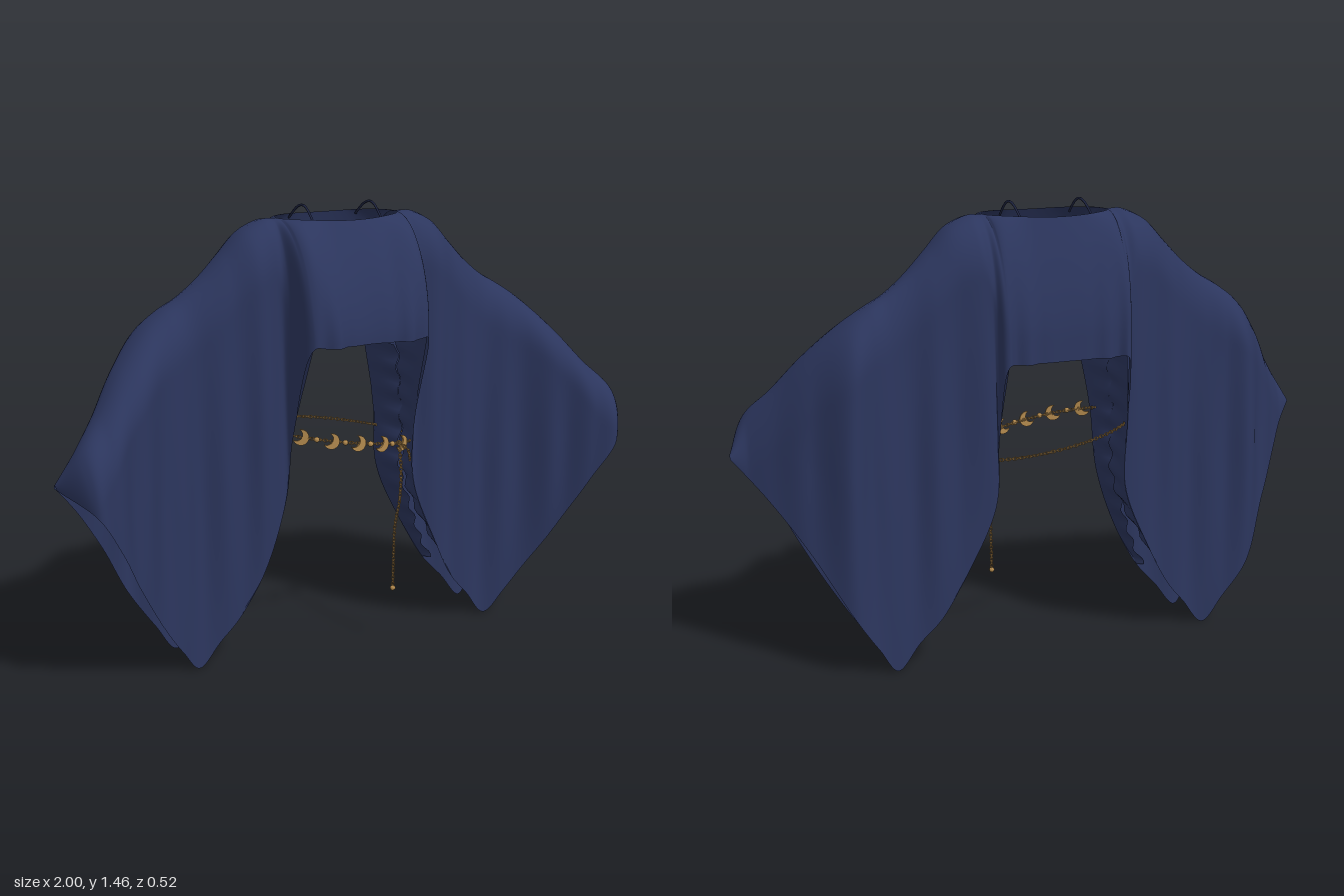
import * as THREE from 'three';
import { mergeVertices, mergeGeometries } from 'three/addons/utils/BufferGeometryUtils.js';

const V = (x, y, z) => new THREE.Vector3(x, y, z);
const { lerp, smoothstep } = THREE.MathUtils;

// Stations from the chest centre out to the left cuff: shoulder ridge, front hem, back hem
const STATIONS = [
  [V(0, 1.42, -0.05), V(0, 1.05, 0.2), V(0, 0.98, -0.24)],
  [V(0.17, 1.425, -0.05), V(0.16, 1.05, 0.215), V(0.17, 0.98, -0.245)],
  [V(0.21, 1.425, -0.05), V(0.2, 1.05, 0.19), V(0.2, 0.98, -0.245)],
  [V(0.23, 1.425, -0.05), V(0.22, 0.75, 0.08), V(0.22, 0.75, -0.21)],
  [V(0.26, 1.425, -0.05), V(0.235, 0.53, 0.055), V(0.225, 0.53, -0.195)],
  [V(0.33, 1.395, -0.055), V(0.32, 0.3, 0.065), V(0.32, 0.31, -0.185)],
  [V(0.4, 1.325, -0.06), V(0.39, 0.17, 0.05), V(0.4, 0.17, -0.17)],
  [V(0.47, 1.255, -0.065), V(0.46, 0.09, 0.04), V(0.47, 0.09, -0.155)],
  [V(0.54, 1.2, -0.07), V(0.535, 0.005, 0.035), V(0.545, 0.005, -0.15)],
  [V(0.6, 1.165, -0.07), V(0.6, 0.08, 0.055), V(0.61, 0.09, -0.17)],
  [V(0.67, 1.115, -0.055), V(0.68, 0.2, 0.095), V(0.69, 0.21, -0.185)],
  [V(0.77, 1.015, 0), V(0.77, 0.36, 0.16), V(0.8, 0.41, -0.1)],
  [V(0.86, 0.9, 0.075), V(0.84, 0.5, 0.215), V(0.89, 0.55, -0.015)],
  [V(0.94, 0.81, 0.135), V(0.92, 0.63, 0.245), V(0.95, 0.63, 0.045)],
  [V(1, 0.7, 0.09), V(0.995, 0.685, 0.095), V(1, 0.69, 0.08)],
];

// Smooth curve through one column of the stations, mirrored across the body
function acrossCurve(col) {
  const half = STATIONS.map((s) => s[col]);
  const mirrored = half.slice(1).reverse().map((p) => V(-p.x, p.y, p.z));
  return new THREE.CatmullRomCurve3([...mirrored, ...half]);
}

// Grid of points with smooth normals; equal points are welded
function sheetGeometry(pos, index) {
  let geo = new THREE.BufferGeometry();
  geo.setAttribute('position', new THREE.Float32BufferAttribute(pos, 3));
  geo.setIndex(index);
  geo = mergeVertices(geo, 1e-4);
  geo.computeVertexNormals();
  return geo;
}

function pushQuad(index, k, stride, flip) {
  const r = k + stride;
  if (flip) index.push(k, r, k + 1, r, r + 1, k + 1);
  else index.push(k, k + 1, r, r, k + 1, r + 1);
}

// Front and back cloth, joined along the shoulders and open at neck, hem and cuffs
function clothGeometry() {
  const COLS = 320, ROWS = 36;
  const ridge = acrossCurve(0), hems = [acrossCurve(1), acrossCurve(2)];
  const pos = [], index = [];
  hems.forEach((hem, side) => {
    const sign = side ? -1 : 1, base = pos.length / 3;
    for (let j = 0; j <= COLS; j++) {
      const a = ridge.getPoint(j / COLS), b = hem.getPoint(j / COLS);
      const ax = Math.abs(a.x);
      const neck = 0.12 * Math.sqrt(Math.max(0, 1 - (ax / 0.21) ** 2));
      const arm = smoothstep(ax, 0.2, 0.27), curl = smoothstep(ax, 0.08, 0.21);
      const reach = lerp(0.36, 0.17, arm);
      const armFold = arm * (1 - smoothstep(ax, 0.72, 0.92)) * 0.013 * Math.sin(ax * 46 + side * 1.5);
      const chestFold = (1 - arm) * smoothstep(ax, 0.04, 0.14) * 0.01 * Math.sin(ax * 75 - 8.2);
      for (let i = 0; i <= ROWS; i++) {
        const t = (i / ROWS) ** 1.5;
        const y = lerp(a.y, b.y, t);
        const q = Math.min(1, (a.y - y) / Math.min(reach, a.y - b.y));
        const soft = 1 - (1 - q) ** 1.7, round = Math.sqrt(1 - (1 - q) ** 2);
        const z0 = a.z + sign * neck;
        const z = z0 + (b.z - z0) * lerp(soft, round, curl);
        const fold = armFold * Math.min(1, t * 1.8) * (1 - 0.85 * t ** 4) + chestFold * t * t;
        pos.push(lerp(a.x, b.x, t), y, z + sign * fold);
        if (i < ROWS && j < COLS) pushQuad(index, base + j * (ROWS + 1) + i, ROWS + 1, side);
      }
    }
  });
  return sheetGeometry(pos, index);
}

// Rippled wall beneath the armpit, curling in from the front (1) or back (2) hem
function innerWallGeometry(mirror, col) {
  const ROWS = 60, COLS = 8, pos = [], index = [];
  const edge = new THREE.CatmullRomCurve3(STATIONS.slice(2, 7).map((s) => s[col]));
  for (let i = 0; i <= ROWS; i++) {
    const a = edge.getPoint(i / ROWS);
    const open = 1 - smoothstep(a.y, 0.17, 0.5);
    const innerZ = -0.05 + open * (col === 1 ? 0.08 : -0.09);
    for (let j = 0; j <= COLS; j++) {
      const s = j / COLS, x = a.x + s * (0.02 + 0.008 * Math.sin(a.y * 75));
      pos.push(mirror * x, a.y, lerp(a.z, innerZ, s));
      if (i < ROWS && j < COLS) pushQuad(index, i * (COLS + 1) + j, COLS + 1, (mirror > 0) === (col === 1));
    }
  }
  return sheetGeometry(pos, index);
}

// Alternating small oval links along a curve
function chainGeometry(curve, spacing) {
  const n = Math.round(curve.getLength() / spacing), links = [];
  for (let i = 0; i <= n; i++) {
    const u = i / n, link = new THREE.TorusGeometry(0.0048, 0.0017, 4, 8);
    link.scale(1.6, 1, 1);
    link.rotateX((i % 2) * Math.PI / 2);
    link.applyQuaternion(new THREE.Quaternion().setFromUnitVectors(V(1, 0, 0), curve.getTangentAt(u)));
    const p = curve.getPointAt(u);
    links.push(link.translate(p.x, p.y, p.z));
  }
  return mergeGeometries(links);
}

function crescentGeometry() {
  const R = 0.026, a = 0.87;
  const s = new THREE.Shape();
  s.absarc(0, 0, R, a, Math.PI * 2 - a, false);
  s.absarc(R * Math.cos(a), 0, R * Math.sin(a), -Math.PI / 2, Math.PI / 2, true);
  const geo = new THREE.ExtrudeGeometry(s, { depth: 0.006, bevelEnabled: false, curveSegments: 14 });
  return geo.translate(0, 0, -0.003).rotateZ(2.6);
}

export function createModel() {
  const model = new THREE.Group();
  const navy = new THREE.MeshStandardMaterial({ color: 0x2c365e, side: THREE.DoubleSide });
  navy.name = 'navy cloth';
  const dark = new THREE.MeshStandardMaterial({ color: 0x1d2340 });
  dark.name = 'dark strap';
  const gold = new THREE.MeshStandardMaterial({ color: 0xb38a4e });
  gold.name = 'gold';
  const add = (name, geo, mat, parent = model) => {
    const m = new THREE.Mesh(geo, mat);
    m.name = name;
    parent.add(m);
    return m;
  };

  add('drapedTop', clothGeometry(), navy);
  for (const mirror of [1, -1]) {
    add('innerSleeveFront', innerWallGeometry(mirror, 1), navy);
    add('innerSleeveBack', innerWallGeometry(mirror, 2), navy);
  }

  // Thin straps arching over the neck opening
  for (const x of [-0.12, 0.12]) {
    const arc = new THREE.CatmullRomCurve3([V(x, 1.41, 0.03), V(x, 1.43, 0.01), V(x, 1.455, -0.025),
      V(x, 1.46, -0.055), V(x, 1.45, -0.09), V(x, 1.425, -0.13), V(x, 1.41, -0.15)]);
    add('neckStrap', new THREE.TubeGeometry(arc, 24, 0.004, 6), dark);
  }

  // Tilted chain belt
  const belt = new THREE.Group();
  belt.name = 'belt';
  model.add(belt);
  const beltPoint = (angle) => {
    const x = 0.28 * Math.sin(angle);
    return V(x, 0.71 - 0.17 * x, -0.07 + 0.19 * Math.cos(angle));
  };
  const loop = Array.from({ length: 24 }, (_, i) => beltPoint(i / 24 * Math.PI * 2));
  add('beltChain', chainGeometry(new THREE.CatmullRomCurve3(loop, true), 0.011), gold, belt);

  // Crescent charms with beads between them
  const crescent = crescentGeometry(), bead = new THREE.SphereGeometry(0.009, 10, 8);
  for (let i = 0; i < 9; i++) {
    const angle = Math.asin((-0.19 + i * 0.045) / 0.28);
    const charm = add(i % 2 ? 'beltBead' : 'crescentCharm', i % 2 ? bead : crescent, gold, belt);
    charm.position.copy(beltPoint(angle));
    charm.position.z += 0.004;
    charm.rotation.y = angle * 0.6;
  }

  // Loose ends of the belt
  const start = beltPoint(Math.asin(0.16 / 0.28));
  const tail = new THREE.CatmullRomCurve3([start, V(0.152, 0.6, 0.115), V(0.145, 0.5, 0.12),
    V(0.128, 0.41, 0.12), V(0.124, 0.3, 0.12), V(0.122, 0.2, 0.12)]);
  add('hangingChain', chainGeometry(tail, 0.011), gold, belt);
  add('chainEndBead', bead, gold, belt).position.set(0.122, 0.196, 0.12);
  const spur = new THREE.CatmullRomCurve3([start, V(0.185, 0.66, 0.1), V(0.205, 0.62, 0.08)]);
  add('spareChain', chainGeometry(spur, 0.011), gold, belt);

  return model;
}
